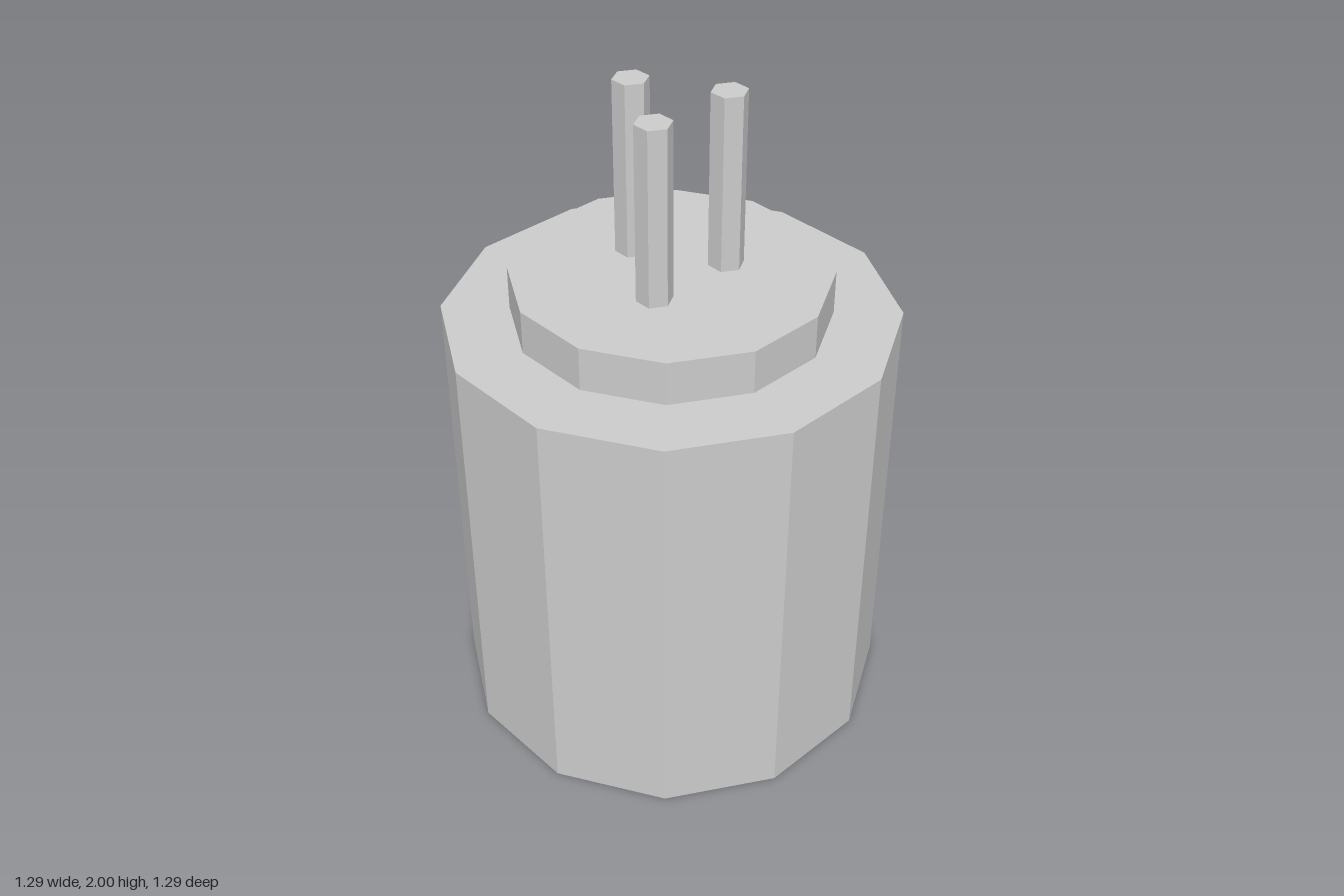
import * as THREE from 'three';

const material = new THREE.MeshStandardMaterial({ color: 0xcccccc, flatShading: true });

// Upright prism from y0 to y1, turned by half a side
function prism(name, radius, y0, y1, sides, x = 0, z = 0) {
  const geometry = new THREE.CylinderGeometry(radius, radius, y1 - y0, sides);
  geometry.rotateY(Math.PI / sides);
  const mesh = new THREE.Mesh(geometry, material);
  mesh.name = name;
  mesh.position.set(x, (y0 + y1) / 2, z);
  return mesh;
}

export function createModel() {
  const model = new THREE.Group();
  model.name = 'threePinCan';

  // Twelve-sided can with a smaller raised cap
  model.add(prism('body', 0.667, 0, 1.333, 12));
  model.add(prism('cap', 0.467, 1.333, 1.467, 12));

  // Three hexagonal pins spaced evenly around the centre
  for (let i = 0; i < 3; i++) {
    const a = (i * Math.PI * 2) / 3;
    model.add(prism(`pin${i + 1}`, 0.053, 1.467, 2, 6, 0.16 * Math.cos(a), 0.16 * Math.sin(a)));
  }
  return model;
}
